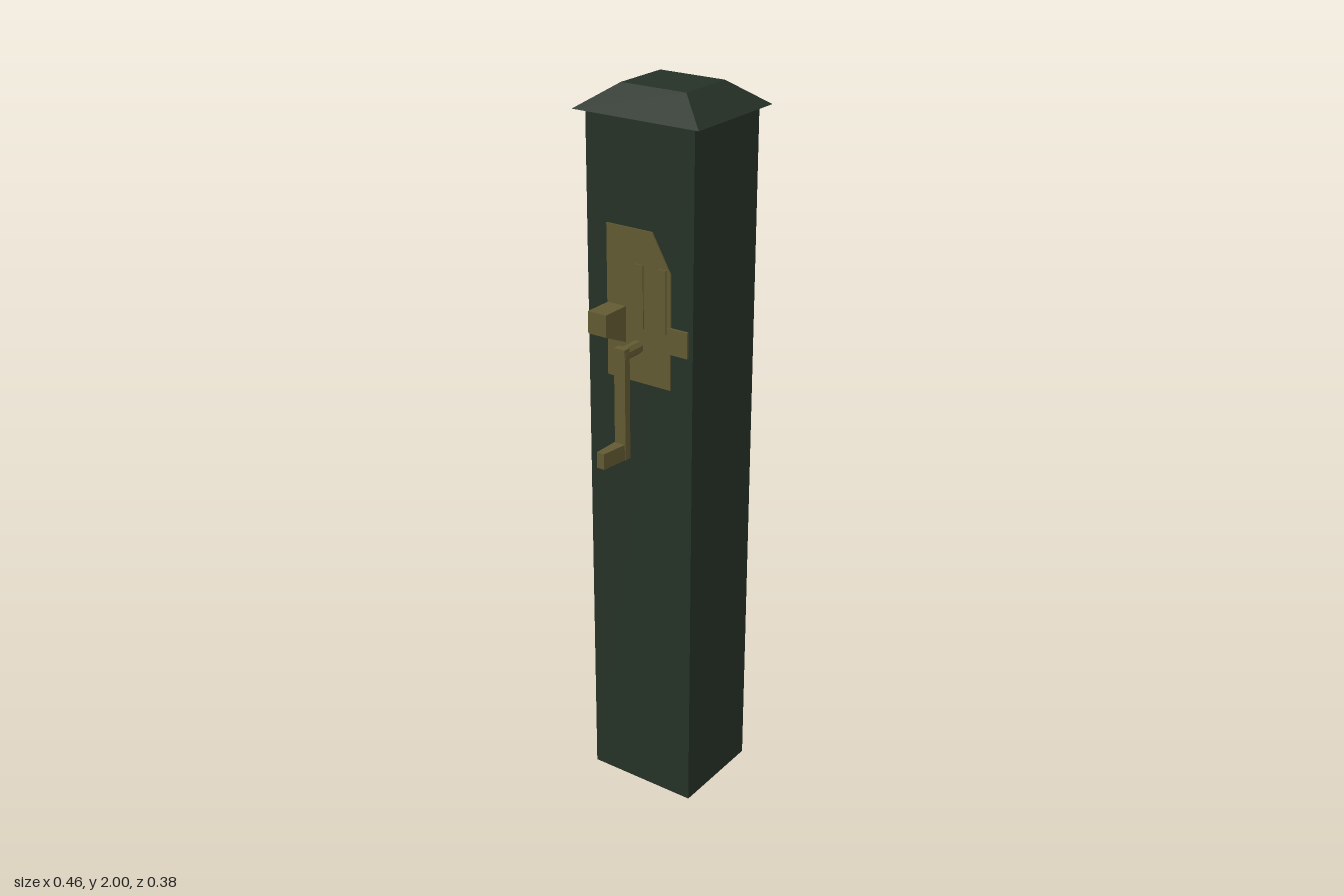
import * as THREE from 'three';

const paint = new THREE.MeshStandardMaterial({ color: 0x253126, flatShading: true });
paint.name = 'dark green paint';
const brass = new THREE.MeshStandardMaterial({ color: 0x625a32, flatShading: true });
brass.name = 'aged brass';

export function createModel() {
  const model = new THREE.Group();
  model.name = 'crankPost';

  const add = (name, geometry, material, parent = model) => {
    const mesh = new THREE.Mesh(geometry, material);
    mesh.name = name;
    parent.add(mesh);
    return mesh;
  };
  // Box given by its lower and upper corners
  const box = (x0, x1, y0, y1, z0, z1) =>
    new THREE.BoxGeometry(x1 - x0, y1 - y0, z1 - z0)
      .translate((x0 + x1) / 2, (y0 + y1) / 2, (z0 + z1) / 2);
  // Move every vertex by a rule
  const reshape = (geometry, rule) => {
    const p = geometry.attributes.position;
    const v = new THREE.Vector3();
    for (let i = 0; i < p.count; i++) {
      rule(v.fromBufferAttribute(p, i));
      p.setXYZ(i, v.x, v.y, v.z);
    }
    geometry.computeVertexNormals();
    return geometry;
  };

  // Square post
  add('post', box(-0.075, 0.208, 0, 1.94, -0.163, 0.163), paint);

  // Overhanging cap with sloped sides and a flat top
  add('cap', reshape(box(-0.095, 0.23, 1.937, 2, -0.19, 0.187), (v) => {
    if (v.y > 1.97) {
      v.x = v.x < 0 ? -0.015 : 0.152;
      v.z = v.z < 0 ? -0.098 : 0.096;
    }
  }), paint);

  // Thin mounting plate with one clipped top corner, on the -x face
  const mechanism = new THREE.Group();
  mechanism.name = 'crankMechanism';
  model.add(mechanism);
  const outline = new THREE.Shape([
    [-0.1, 1.25], [0.097, 1.25], [0.097, 1.56], [0.04, 1.66], [-0.1, 1.66],
  ].map(([z, y]) => new THREE.Vector2(z, y)));
  const plate = add('mountingPlate',
    new THREE.ExtrudeGeometry(outline, { depth: 0.004, bevelEnabled: false }), brass, mechanism);
  plate.rotation.y = -Math.PI / 2;
  plate.position.x = -0.075;

  // Side latch and upright guides lying on the plate
  add('sideLatch', box(-0.082, -0.07, 1.35, 1.42, 0.09, 0.15), brass, mechanism);
  for (const z of [-0.01, 0.06]) {
    add('guideStrip', box(-0.083, -0.075, 1.4, 1.57, z, z + 0.025), brass, mechanism);
  }

  // Bracket whose underside slopes up towards its tip
  add('bracket', reshape(box(-0.163, -0.075, 1.35, 1.45, -0.098, -0.041), (v) => {
    if (v.x < -0.12 && v.y < 1.4) v.y = 1.39;
  }), brass, mechanism);

  // Crank: shaft, hanging arm and tapered grip
  const crank = new THREE.Group();
  crank.name = 'crank';
  mechanism.add(crank);
  add('crankShaft', new THREE.CylinderGeometry(0.018, 0.018, 0.08, 8)
    .rotateY(Math.PI / 8).rotateZ(Math.PI / 2).translate(-0.115, 1.348, -0.004), brass, crank);
  add('crankArm', box(-0.157, -0.136, 1.06, 1.366, -0.022, 0.012), brass, crank);
  add('crankGrip', reshape(box(-0.233, -0.136, 1.06, 1.104, -0.023, 0.012), (v) => {
    if (v.x < -0.2 && v.z > 0) v.z = 0;
  }), brass, crank);

  return model;
}
